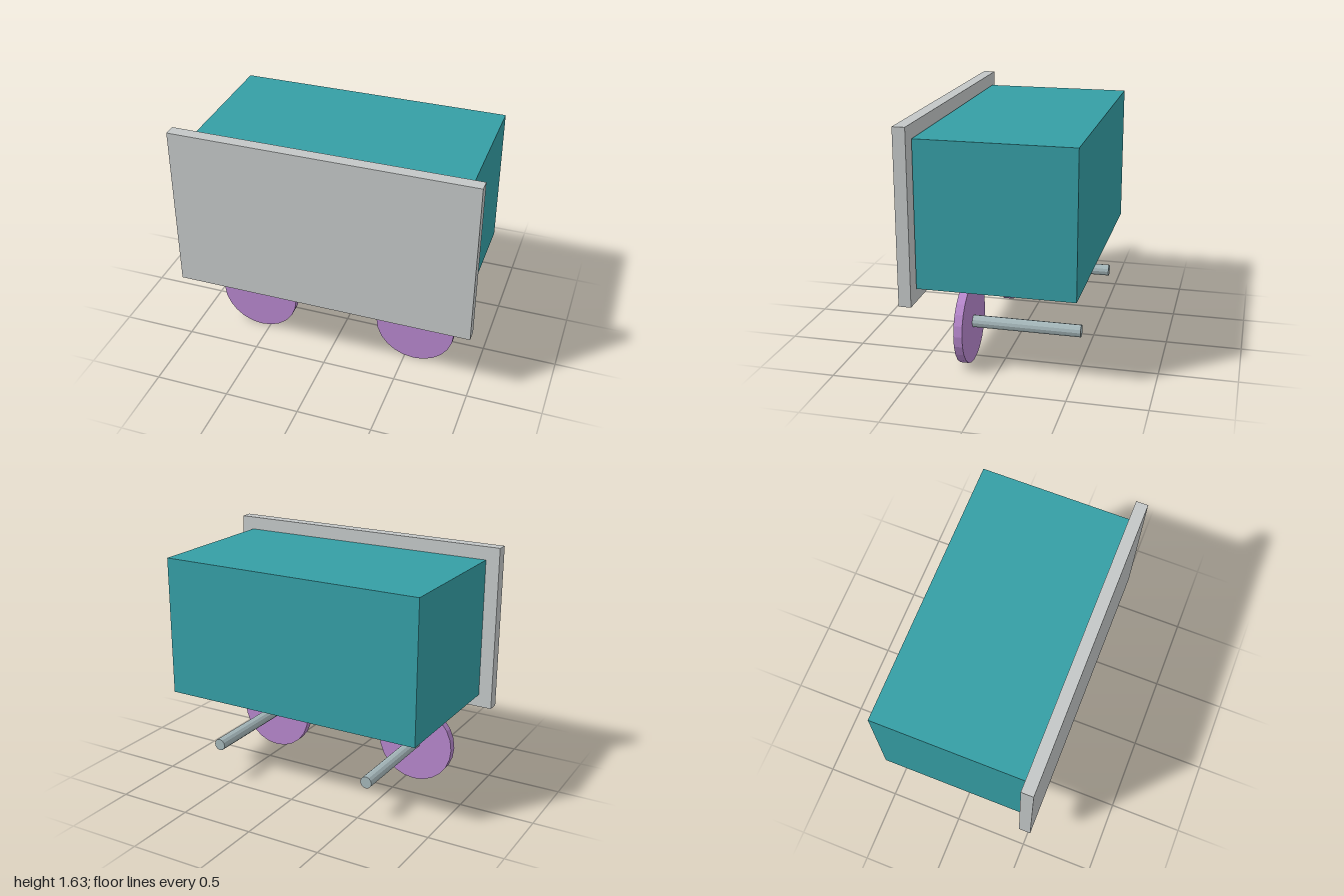
import * as THREE from 'three';

export function createModel() {
  const model = new THREE.Group();
  const mat = (name, color, flatShading = false) => {
    const m = new THREE.MeshStandardMaterial({ color, flatShading });
    m.name = name;
    return m;
  };
  const grey = mat('panel grey', 0xc3c7c7);
  const teal = mat('body teal', 0x359ea5);
  const purple = mat('wheel purple', 0xb586cb, true);
  const steel = mat('axle steel', 0xa3b5b8, true);

  const add = (name, geometry, material, x, y, z) => {
    const mesh = new THREE.Mesh(geometry, material);
    mesh.name = name;
    mesh.position.set(x, y, z);
    model.add(mesh);
  };
  // Cylinder lying along z
  const rod = (radius, length, sides) =>
    new THREE.CylinderGeometry(radius, radius, length, sides).rotateX(Math.PI / 2);

  // Large front panel and the box behind it
  add('frontPanel', new THREE.BoxGeometry(2, 1.116, 0.08), grey, 0, 1.073, 0.502);
  add('body', new THREE.BoxGeometry(1.82, 0.94, 0.996), teal, 0, 1.074, -0.042);

  // Wheels, axles and the small strips under the body
  for (const [side, s] of [['left', 1], ['right', -1]]) {
    add(side + 'Wheel', rod(0.27, 0.056, 24), purple, s * 0.565, 0.271, 0.223);
    add(side + 'Axle', rod(0.04, 0.76, 12), steel, s * 0.565, 0.274, -0.132);
    add(side + 'UndersideStrip', new THREE.BoxGeometry(0.03, 0.032, 0.28), purple, s * 0.4, 0.593, -0.025);
  }
  return model;
}
